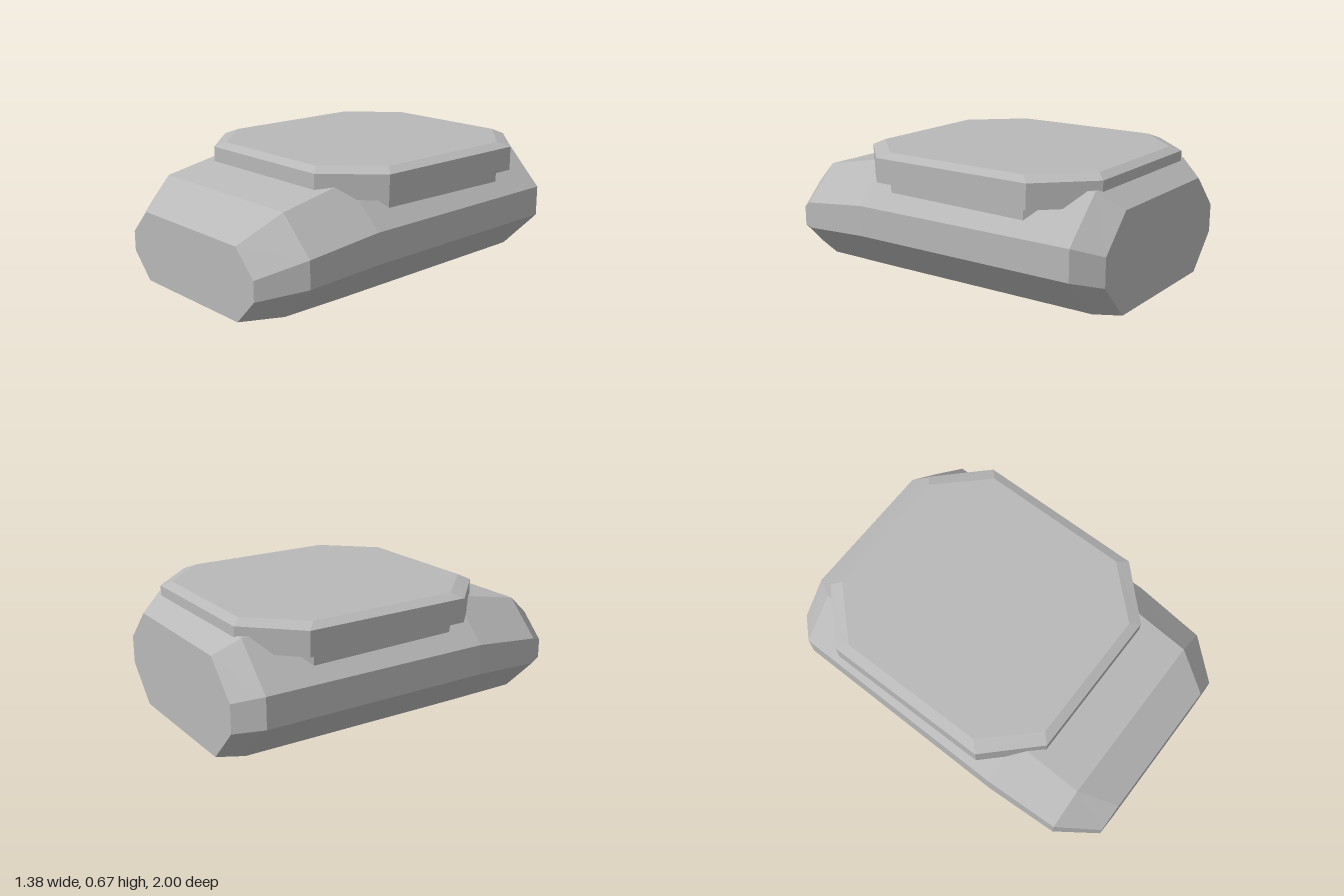
import * as THREE from 'three';

// Closed faceted solid through rings of points; each ring runs anticlockwise seen from the last ring's end.
function loft(rings) {
  const pos = [];
  const tri = (...pts) => pts.forEach((p) => pos.push(...p));
  const n = rings[0].length;
  for (let r = 0; r < rings.length - 1; r++) {
    const lower = rings[r], upper = rings[r + 1];
    for (let i = 0; i < n; i++) {
      const j = (i + 1) % n;
      tri(lower[i], lower[j], upper[j]);
      tri(lower[i], upper[j], upper[i]);
    }
  }
  const first = rings[0], last = rings[rings.length - 1];
  for (let i = 1; i < n - 1; i++) {
    tri(first[0], first[i + 1], first[i]);
    tri(last[0], last[i], last[i + 1]);
  }
  const geometry = new THREE.BufferGeometry();
  geometry.setAttribute('position', new THREE.Float32BufferAttribute(pos, 3));
  geometry.computeVertexNormals();
  return geometry;
}

// Upright eight-sided hull section, mirrored about x = 0
function hullRing([z, bottomX, sideX, topX, lowY, highY, topY]) {
  const right = [[bottomX, 0, z], [sideX, lowY, z], [sideX, highY, z], [topX, topY, z]];
  const left = right.map(([x, y]) => [-x, y, z]).reverse();
  return [...right, ...left];
}

// Level rectangle with cut corners, centred on the turret
const TURRET_Z = -0.17;
function turretRing(y, halfX, halfZ, cornerX, cornerZ) {
  return [
    [halfX, cornerZ], [halfX, -cornerZ], [cornerX, -halfZ], [-cornerX, -halfZ],
    [-halfX, -cornerZ], [-halfX, cornerZ], [-cornerX, halfZ], [cornerX, halfZ],
  ].map(([x, z]) => [x, y, z + TURRET_Z]);
}

export function createModel() {
  const group = new THREE.Group();
  group.name = 'hullWithTurret';
  const grey = new THREE.MeshStandardMaterial({ color: 0xb8b8b8 });
  grey.name = 'plain grey';

  const add = (name, rings) => {
    const mesh = new THREE.Mesh(loft(rings), grey);
    mesh.name = name;
    group.add(mesh);
  };

  // Hull sections from back to front: z, bottom x, side x, top x, low y, high y, top y
  add('hull', [
    [-1, 0.39, 0.565, 0.39, 0.185, 0.335, 0.515],
    [-0.875, 0.46, 0.677, 0.46, 0.217, 0.38, 0.597],
    [0.39, 0.48, 0.692, 0.48, 0.217, 0.38, 0.594],
    [0.795, 0.48, 0.667, 0.48, 0.187, 0.33, 0.515],
    [1, 0.382, 0.512, 0.382, 0.135, 0.24, 0.372],
  ].map(hullRing));

  // Narrow neck under the turret plate
  add('turretNeck', [
    turretRing(0.4, 0.613, 0.67, 0.365, 0.41),
    turretRing(0.52, 0.613, 0.67, 0.365, 0.41),
  ]);

  // Wide turret plate with a bevelled upper edge
  add('turretPlate', [
    turretRing(0.515, 0.665, 0.717, 0.41, 0.46),
    turretRing(0.643, 0.665, 0.717, 0.41, 0.46),
    turretRing(0.668, 0.613, 0.67, 0.365, 0.41),
  ]);

  return group;
}
